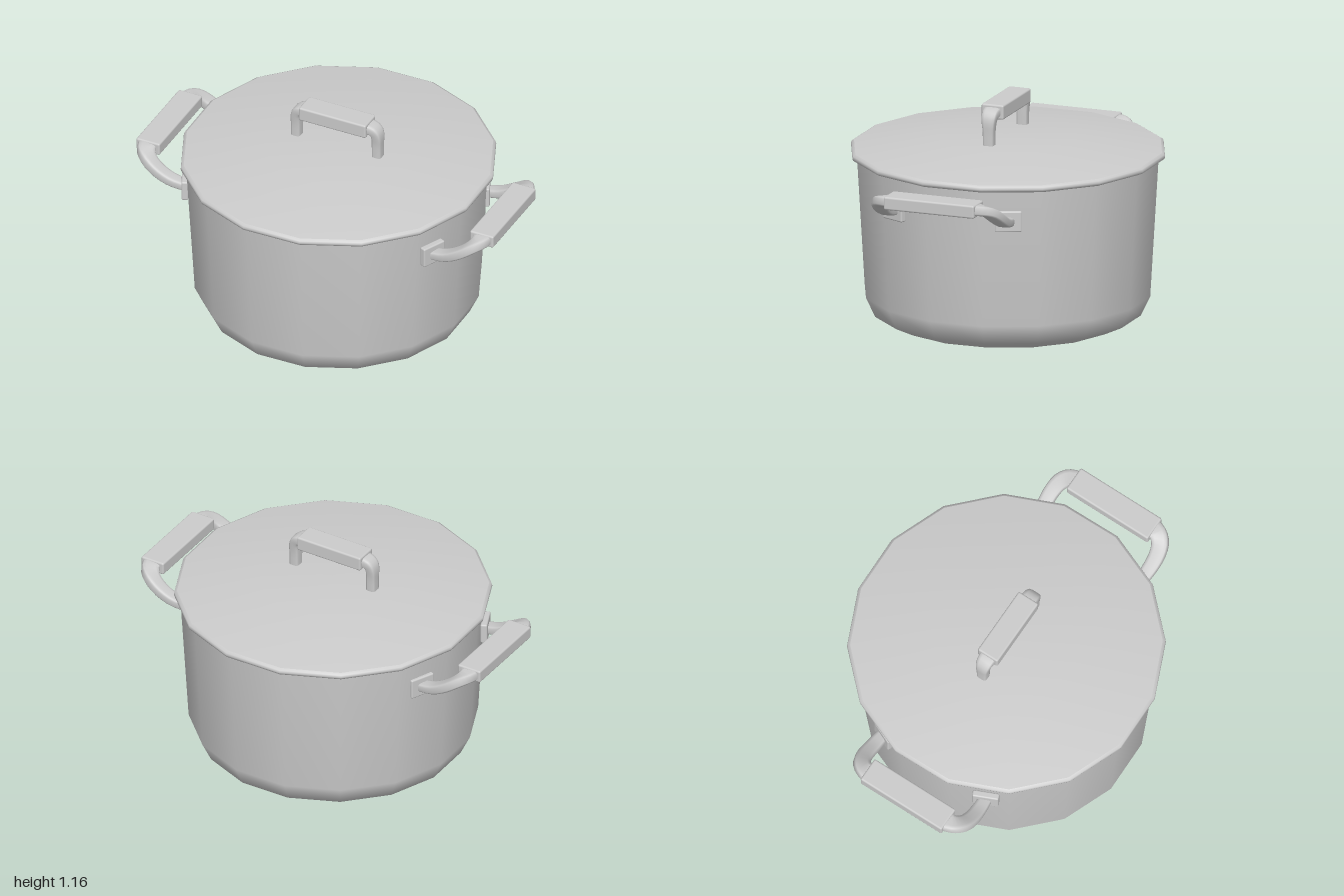
import * as THREE from 'three';
import { RoundedBoxGeometry } from 'three/addons/geometries/RoundedBoxGeometry.js';

const SIDES = 16;
const PHASE = 0.21; // turn of the 16-sided pot about its axis
const mat = new THREE.MeshStandardMaterial({ color: 0xcccccc });

function add(parent, name, geometry, x = 0, y = 0, z = 0) {
  const mesh = new THREE.Mesh(geometry, mat);
  mesh.name = name;
  mesh.position.set(x, y, z);
  parent.add(mesh);
  return mesh;
}

const lathe = (profile) =>
  new THREE.LatheGeometry(profile.map(([r, y]) => new THREE.Vector2(r, y)), SIDES, PHASE);

// Sweeps a soft-cornered flat section along a curve.
// Each station is [x, y, z, width, thickness, thinX, thinY].
function sweep(stations, steps = 14, around = 12) {
  const curveOf = (f) => new THREE.CatmullRomCurve3(stations.map((s) => new THREE.Vector3(...f(s))));
  const path = curveOf((s) => [s[0], s[1], s[2]]);
  const size = curveOf((s) => [s[3], s[4], 0]);
  const facing = curveOf((s) => [s[5], s[6], 0]);
  const positions = [], index = [];
  for (let i = 0; i <= steps; i++) {
    const t = i / steps;
    const p = path.getPoint(t), tangent = path.getTangent(t), d = size.getPoint(t);
    const wide = tangent.clone().cross(facing.getPoint(t)).normalize();
    const thin = wide.clone().cross(tangent).normalize();
    for (let j = 0; j < around; j++) {
      const a = ((j + 0.5) / around) * Math.PI * 2;
      const soft = (v) => Math.sign(v) * Math.pow(Math.abs(v), 0.5) / 2;
      const v = p.clone()
        .addScaledVector(wide, soft(Math.cos(a)) * d.x)
        .addScaledVector(thin, soft(Math.sin(a)) * d.y);
      positions.push(v.x, v.y, v.z);
      if (i < steps) {
        const k = (j + 1) % around, b = i * around, c = b + around;
        index.push(b + j, c + k, c + j, b + j, b + k, c + k);
      }
    }
  }
  // Wind the faces outwards whichever way the section runs
  const g = new THREE.BufferGeometry();
  g.setAttribute('position', new THREE.Float32BufferAttribute(positions, 3));
  let volume = 0;
  const at = (n) => new THREE.Vector3().fromArray(positions, n * 3).sub(path.getPoint(0.5));
  for (let n = 0; n < index.length; n += 3) {
    volume += at(index[n]).dot(at(index[n + 1]).cross(at(index[n + 2])));
  }
  if (volume < 0) index.reverse();
  g.setIndex(index);
  g.computeVertexNormals();
  return g;
}

function sideHandle(name) {
  const handle = new THREE.Group();
  handle.name = name;
  const midZ = 0.025;
  add(handle, 'handleGrip', new RoundedBoxGeometry(0.132, 0.068, 0.49, 2, 0.01), 0.934, 0.817, midZ);
  for (const s of [1, -1]) {
    const arm = [
      [0.68, 0.70, 0.308, 0.065, 0.045, -0.2, 1],
      [0.77, 0.717, 0.315, 0.075, 0.05, -0.35, 1],
      [0.85, 0.757, 0.315, 0.082, 0.053, -0.5, 1],
      [0.905, 0.795, 0.297, 0.088, 0.054, -0.4, 1],
      [0.934, 0.815, 0.26, 0.092, 0.054, -0.1, 1],
      [0.936, 0.817, 0.21, 0.092, 0.054, 0, 1],
    ].map(([x, y, z, ...rest]) => [x, y, midZ + s * z, ...rest]);
    add(handle, 'handleArm', sweep(arm));
    const plate = add(handle, 'mountPlate', new RoundedBoxGeometry(0.035, 0.108, 0.135, 2, 0.008),
      0.692, 0.704, midZ + s * 0.308);
    plate.rotation.y = -s * 0.42;
  }
  return handle;
}

function lidHandle() {
  const handle = new THREE.Group();
  handle.name = 'lidHandle';
  handle.position.z = 0.008;
  add(handle, 'lidGrip', new RoundedBoxGeometry(0.375, 0.076, 0.12, 2, 0.01), -0.002, 1.118, 0);
  for (const s of [1, -1]) {
    const post = [
      [0.226, 0.94, 0, 0.058, 0.052, 1, 0],
      [0.226, 1.02, 0, 0.06, 0.052, 1, 0],
      [0.225, 1.08, 0, 0.074, 0.053, 1, 0.1],
      [0.211, 1.107, 0, 0.084, 0.053, 0.7, 0.7],
      [0.182, 1.117, 0, 0.09, 0.053, 0.1, 1],
      [0.14, 1.117, 0, 0.09, 0.053, 0, 1],
    ].map(([x, y, z, w, t, nx, ny]) => [s * x, y, z, w, t, s * nx, ny]);
    add(handle, 'lidPost', sweep(post));
  }
  return handle;
}

export function createModel() {
  const pot = new THREE.Group();
  pot.name = 'cookingPot';

  // Tapered body with a rounded foot, and its flat base
  add(pot, 'potBody', lathe([[0.58, 0], [0.68, 0.047], [0.728, 0.148], [0.771, 0.87]]));
  add(pot, 'potBase', lathe([[0, 0], [0.58, 0]]));

  // Lid: underside and rolled rim, then the shallow crown
  add(pot, 'lidUnderside', lathe([[0, 0.86], [0.785, 0.86]]), 0, 0, -0.003);
  add(pot, 'lidRim', lathe([[0.785, 0.86], [0.798, 0.866], [0.801, 0.877], [0.798, 0.888], [0.785, 0.896]]), 0, 0, -0.003);
  add(pot, 'lidCrown', lathe([[0.785, 0.896], [0.37, 0.956], [0, 0.958]]), 0, 0, -0.003);
  pot.add(lidHandle());

  // Pair of side handles
  pot.add(sideHandle('leftHandle'));
  const right = sideHandle('rightHandle');
  right.scale.x = -1;
  pot.add(right);
  return pot;
}
